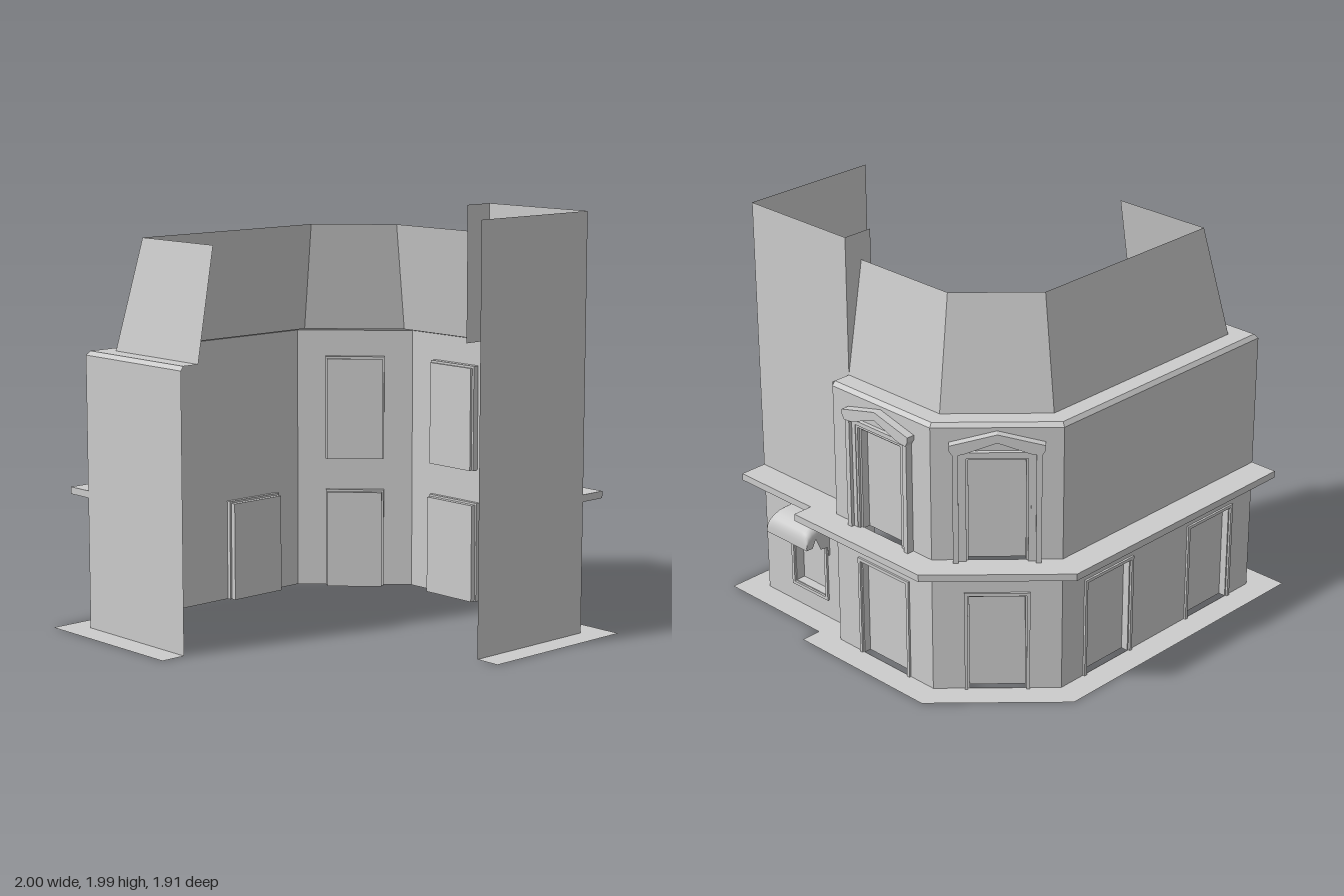
import * as THREE from 'three';

const grey = new THREE.MeshStandardMaterial({ color: 0xcccccc });
const thin = new THREE.MeshStandardMaterial({ color: 0xcccccc, side: THREE.DoubleSide });

// Plan of the facade as [x, z], left to right seen from outside
const plan = [[0.06, 0.83], [0.76, 0.83], [0.76, 0.21], [0.86, 0.21],
  [0.86, -0.41], [0.45, -0.82], [-0.875, -0.82], [-0.875, -0.12]];
const LEDGE = 1.33;

function add(parent, name, geometry, material = grey) {
  const mesh = new THREE.Mesh(geometry, material);
  mesh.name = name;
  parent.add(mesh);
  return mesh;
}

function box(parent, name, x0, x1, y0, y1, z0, z1) {
  const m = add(parent, name, new THREE.BoxGeometry(x1 - x0, y1 - y0, z1 - z0));
  m.position.set((x0 + x1) / 2, (y0 + y1) / 2, (z0 + z1) / 2);
  return m;
}

const shapeOf = (pts) => new THREE.Shape(pts.map((p) => new THREE.Vector2(p[0], p[1])));
const rect = (x0, x1, y0, y1) => [[x0, y0], [x1, y0], [x1, y1], [x0, y1]];

// Moves an open path outwards by d, with mitred corners
function offsetPath(path, d) {
  const normals = path.slice(1).map((b, i) => {
    const dx = b[0] - path[i][0], dz = b[1] - path[i][1], l = Math.hypot(dx, dz);
    return [-dz / l, dx / l];
  });
  return path.map((p, i) => {
    const a = normals[Math.max(i - 1, 0)], b = normals[Math.min(i, normals.length - 1)];
    const k = d / (1 + a[0] * b[0] + a[1] * b[1]);
    return [p[0] + (a[0] + b[0]) * k, p[1] + (a[1] + b[1]) * k];
  });
}

const bandShape = (path, d) => shapeOf([...path, ...offsetPath(path, d).reverse()]);

// Flat-faced strip between two paths at two heights
function strip(pathA, yA, pathB, yB) {
  const pos = [];
  for (let i = 0; i < pathA.length - 1; i++) {
    const a = [pathA[i][0], yA, pathA[i][1]], b = [pathA[i + 1][0], yA, pathA[i + 1][1]];
    const c = [pathB[i + 1][0], yB, pathB[i + 1][1]], d = [pathB[i][0], yB, pathB[i][1]];
    pos.push(...a, ...b, ...c, ...a, ...c, ...d);
  }
  const g = new THREE.BufferGeometry();
  g.setAttribute('position', new THREE.Float32BufferAttribute(pos, 3));
  g.computeVertexNormals();
  return g;
}

// Wall segment: local x runs along the wall, local +z points outwards
function makeWall(name, i, height, openings = []) {
  const [a, b] = [plan[i], plan[i + 1]];
  const dx = b[0] - a[0], dz = b[1] - a[1], h = Math.hypot(dx, dz) / 2;
  const g = new THREE.Group();
  g.name = name;
  g.position.set((a[0] + b[0]) / 2, 0, (a[1] + b[1]) / 2);
  g.rotation.y = Math.atan2(-dz, dx);
  const s = shapeOf(rect(-h, h, 0, height));
  for (const o of openings) {
    s.holes.push(new THREE.Path(rect(...o).reverse().map((p) => new THREE.Vector2(...p))));
  }
  add(g, name + 'Surface', new THREE.ShapeGeometry(s), thin);
  return g;
}

// Three-sided surround, open at the bottom
function surround(parent, name, u, half, y0, top, t, z0, z1) {
  const s = shapeOf([[u - half, y0], [u - half + t, y0], [u - half + t, top - t], [u + half - t, top - t],
    [u + half - t, y0], [u + half, y0], [u + half, top], [u - half, top]]);
  const m = add(parent, name, new THREE.ExtrudeGeometry(s, { depth: z1 - z0, bevelEnabled: false }));
  m.position.z = z0;
}

const doorHole = (u, half) => [u - half + 0.01, u + half - 0.01, 0.002, 0.485];
const windowHole = [-0.14, 0.14, 0.662, 1.17];

function addDoor(wall, u, half) {
  surround(wall, 'doorFrame', u, half, 0, 0.497, 0.015, -0.02, 0.01);
  surround(wall, 'doorInnerFrame', u, half - 0.01, 0, 0.487, 0.012, -0.045, 0);
  box(wall, 'doorPanel', u - half + 0.015, u + half - 0.015, 0, 0.48, -0.045, -0.035);
}

function addUpperWindow(wall) {
  surround(wall, 'windowFrame', 0, 0.148, 0.66, 1.18, 0.012, -0.03, 0.015);
  surround(wall, 'windowInnerFrame', 0, 0.137, 0.66, 1.169, 0.011, -0.04, 0.003);
  box(wall, 'windowPane', -0.14, 0.14, 0.66, 1.17, -0.045, -0.035);
  box(wall, 'windowLintel', -0.17, 0.17, 1.18, 1.2, 0, 0.02);
  for (const s of [-1, 1]) {
    const p = box(wall, 'pilaster', -0.0125, 0.0125, 0.66, 1.2, 0, 0.035);
    p.position.x = s * 0.1825;
    const q = box(wall, 'pilasterReturn', -0.011, 0.011, 0.66, 1.2, 0, 0.018);
    q.position.x = s * 0.159;
  }
  // Chevron-shaped open pediment
  const chevron = shapeOf([[-0.21, 1.22], [-0.195, 1.195], [-0.15, 1.2], [0, 1.255], [0.15, 1.2],
    [0.195, 1.195], [0.21, 1.22], [0.21, 1.242], [0, 1.295], [-0.21, 1.242]]);
  add(wall, 'pediment', new THREE.ExtrudeGeometry(chevron, { depth: 0.04, bevelEnabled: false }));
}

function addTowerWindow(wall) {
  const ring = (x, y0, y1, t) => {
    const s = shapeOf(rect(-x, x, y0, y1));
    s.holes.push(shapeOf(rect(-x + t, x - t, y0 + t, y1 - t)));
    return s;
  };
  add(wall, 'towerWindowFrame', new THREE.ExtrudeGeometry(ring(0.125, 0.095, 0.43, 0.016),
    { depth: 0.01, bevelEnabled: false }));
  const reveal = add(wall, 'towerWindowReveal', new THREE.ExtrudeGeometry(ring(0.112, 0.108, 0.417, 0.008),
    { depth: 0.05, bevelEnabled: false }));
  reveal.position.z = -0.05;
  box(wall, 'towerWindowPane', -0.122, 0.122, 0.1, 0.425, -0.058, -0.048);
}

function addAwning(wall) {
  const profile = [[0, 0.53], [0.04, 0.53], [0.075, 0.526], [0.105, 0.515], [0.127, 0.498], [0.138, 0.475], [0.142, 0.45], [0.142, 0.42]];
  const squash = (y, k) => 0.42 + (y - 0.42) * k;
  const nu = 24, half = 0.14, r = 0.045;
  const g = new THREE.PlaneGeometry(1, 1, nu, profile.length - 1);
  const p = g.attributes.position;
  for (let j = 0; j < profile.length; j++) {
    for (let i = 0; i <= nu; i++) {
      const u = -half * Math.cos((Math.PI * i) / nu);
      const e = Math.max(0, (Math.abs(u) - half + r) / r);
      const k = 1 - 0.45 * (1 - Math.sqrt(Math.max(0, 1 - e * e)));
      p.setXYZ(j * (nu + 1) + i, u, squash(profile[j][1], k), profile[j][0]);
    }
  }
  g.computeVertexNormals();
  add(wall, 'awningCanopy', g, thin);
  // Scalloped side flaps
  const flap = shapeOf([...profile.map(([z, y]) => [z, squash(y, 0.55)]),
    [0.105, 0.42], [0.085, 0.46], [0.055, 0.395], [0.015, 0.39], [0.008, 0.345], [0, 0.345]]);
  for (const s of [-1, 1]) {
    const m = add(wall, 'awningSideFlap', new THREE.ShapeGeometry(flap), thin);
    m.rotation.y = -Math.PI / 2;
    m.position.x = s * half;
  }
}

export function createModel() {
  const model = new THREE.Group();
  model.name = 'cornerBuilding';

  // Tower walls
  const towerSide = makeWall('towerSideWall', 1, 1.99, [[-0.11, 0.11, 0.11, 0.415]]);
  addTowerWindow(towerSide);
  addAwning(towerSide);
  model.add(makeWall('towerFrontWall', 0, 1.99), towerSide);
  const back = add(model, 'towerReturnWall', new THREE.ShapeGeometry(shapeOf(rect(0.61, 0.76, LEDGE, 1.99))), thin);
  back.position.z = 0.21;

  // Main walls with doors and upper windows
  const side = makeWall('sideWall', 3, 1.31, [doorHole(0, 0.165), windowHole]);
  const corner = makeWall('cornerWall', 4, 1.31, [doorHole(0, 0.147), windowHole]);
  const rear = makeWall('rearWall', 5, 1.31, [doorHole(-0.355, 0.163), doorHole(0.355, 0.163)]);
  addDoor(side, 0, 0.165);
  addDoor(corner, 0, 0.147);
  for (const u of [-0.355, 0.355]) addDoor(rear, u, 0.163);
  addUpperWindow(side);
  addUpperWindow(corner);
  model.add(makeWall('stepWall', 2, LEDGE), side, corner, rear, makeWall('leftWall', 6, 1.31));

  // Chamfered ledge and sloping roof
  const upper = plan.slice(3);
  const profile = [[0, 1.31], [-0.015, LEDGE], [-0.1, LEDGE], [-0.193, 1.86]];
  ['ledgeChamfer', 'ledge', 'mansardRoof'].forEach((name, i) => {
    const [a, b] = [profile[i], profile[i + 1]];
    add(model, name, strip(offsetPath(upper, a[0]), a[1], offsetPath(upper, b[0]), b[1]), thin);
  });

  // Cornice between the storeys
  const cornice = new THREE.ExtrudeGeometry(bandShape(plan.slice(1, 7), 0.137), { depth: 0.034, bevelEnabled: false });
  add(model, 'cornice', cornice.rotateX(Math.PI / 2)).position.y = 0.664;

  // Pavement strip around the foot of the walls
  const pavement = new THREE.ShapeGeometry(bandShape(plan, 0.125));
  add(model, 'pavement', pavement.rotateX(Math.PI / 2), thin);

  return model;
}
